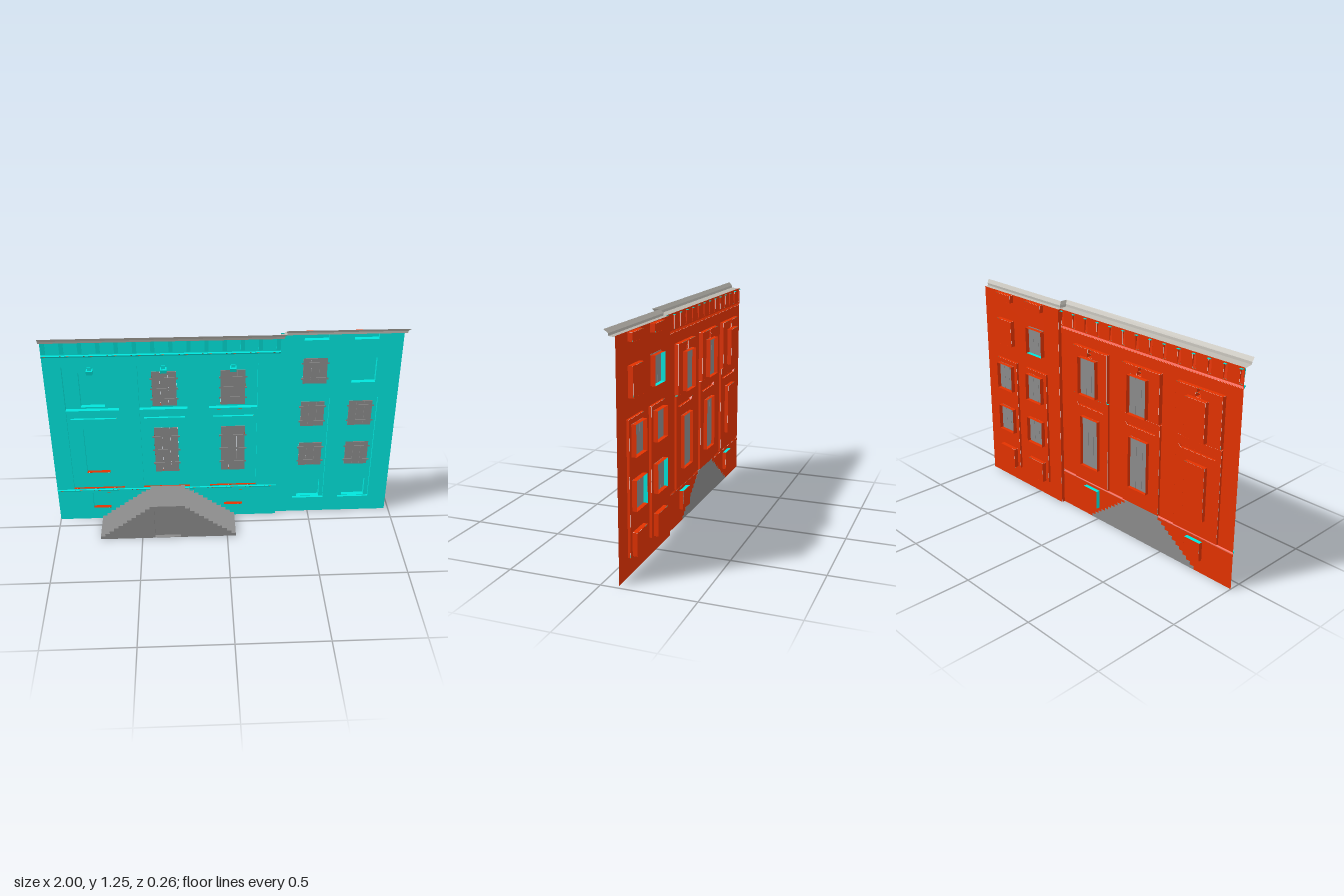
import * as THREE from 'three';
import { mergeGeometries } from 'three/addons/utils/BufferGeometryUtils.js';

const mat = (name, color, side = THREE.FrontSide) => {
  const m = new THREE.MeshStandardMaterial({ color, side });
  m.name = name;
  return m;
};

// Flat-shaded geometry from quads, each four corners counter-clockwise
function quads(list) {
  const pos = list.flatMap(([a, b, c, d]) => [a, b, c, a, c, d].flat());
  const g = new THREE.BufferGeometry();
  g.setAttribute('position', new THREE.Float32BufferAttribute(pos, 3));
  g.computeVertexNormals();
  return g;
}

// Relief panel: rectangle at depth z; zb slopes the bottom edge, taper narrows it.
// Edges are numbered bottom 0, right 1, top 2, left 3: flip swaps their colours;
// open windows have no plate, and red edges except those listed in lined.
const rect = (x0, x1, y0, y1, z, opt = {}) =>
  ({ x0, x1, y0, y1, z, zb: z, taper: 0, flip: [], lined: [], kids: [], ...opt });
const outline = ({ x0, x1, y0, y1, taper: t }) => [[x0 + t, y0], [x1 - t, y0], [x1, y1], [x0, y1]];
const depth = (r, y) => r.zb + (r.z - r.zb) * (y - r.y0) / (r.y1 - r.y0);
const toPoints = (r) => outline(r).map(([x, y]) => new THREE.Vector2(x, y));

// Builds a plate with its nested recesses and bumps as one folded sheet
function relief(r, sheet, redEdges) {
  if (!r.open) {
    const shape = new THREE.Shape(toPoints(r));
    r.kids.forEach((k) => shape.holes.push(new THREE.Path(toPoints(k))));
    const g = new THREE.ShapeGeometry(shape).toNonIndexed();
    g.deleteAttribute('uv');
    const p = g.attributes.position;
    for (let i = 0; i < p.count; i++) p.setZ(i, depth(r, p.getY(i)));
    g.computeVertexNormals();
    sheet.push(g);
  }
  for (const k of r.kids) {
    const c = outline(k);
    c.forEach((p, i) => {
      const q = c[(i + 1) % 4];
      const face = [[...p, r.z], [...q, r.z], [...q, depth(k, q[1])], [...p, depth(k, p[1])]];
      if (k.flip.includes(i)) face.reverse();
      (k.open && !k.lined.includes(i) ? redEdges : sheet).push(quads([face]));
    });
    relief(k, sheet, redEdges);
  }
}

// Same sheet seen from behind
function reversed(geo) {
  const g = geo.clone();
  const p = g.attributes.position;
  const a = new THREE.Vector3(), b = new THREE.Vector3();
  for (let i = 0; i < p.count; i += 3) {
    a.fromBufferAttribute(p, i + 1);
    b.fromBufferAttribute(p, i + 2);
    p.setXYZ(i + 1, b.x, b.y, b.z);
    p.setXYZ(i + 2, a.x, a.y, a.z);
  }
  g.computeVertexNormals();
  return g;
}

export function createModel() {
  const model = new THREE.Group();
  model.name = 'buildingFacade';
  const teal = mat('tealWall', 0x00e5dc);
  const red = mat('redBacking', 0xe23200, THREE.DoubleSide);
  const grey = mat('greyStone', 0x8b8b8b);
  const pale = mat('paleCornice', 0xbcb9b1, THREE.DoubleSide);
  const add = (geo, m, name, parent = model) => {
    const mesh = new THREE.Mesh(geo, m);
    mesh.name = name;
    parent.add(mesh);
    return mesh;
  };
  const box = (w, h, d, x, y, z, m, name, parent) =>
    add(new THREE.BoxGeometry(w, h, d), m, name, parent).position.set(x, y, z);
  // Teal front, and a red back a hair behind it
  const addWing = (wall, name, extra = []) => {
    const sheet = [...extra], redEdges = [];
    relief(wall, sheet, redEdges);
    const g = mergeGeometries(sheet);
    add(g, teal, name + 'Front');
    const back = reversed(g);
    const p = back.attributes.position, n = back.attributes.normal;
    for (let i = 0; i < p.count; i++) {
      p.setXYZ(i, p.getX(i) + n.getX(i) * 0.0006, p.getY(i) + n.getY(i) * 0.0006, p.getZ(i) + n.getZ(i) * 0.0006);
    }
    add(back, red, name + 'Back');
    add(mergeGeometries(redEdges), red, name + 'WindowEdges');
  };

  const Z = -0.067, ZR = -0.088;

  // Shutters: three boards with slim hinge rails
  const shutter = (x0, x1, y0, y1, z, rails) => {
    const g = new THREE.Group();
    g.name = 'shutter';
    model.add(g);
    const w = (x1 - x0) / 3, h = y1 - y0;
    for (let i = 0; i < 3; i++) {
      box(w - 0.001, h, 0.006, x0 + w * (i + 0.5), (y0 + y1) / 2, z, grey, 'shutterBoard', g);
    }
    for (let i = 0; i < rails; i++) {
      const y = y0 + h * (0.2 + 0.6 * i / (rails - 1));
      box(x1 - x0 + 0.02, 0.01, 0.003, (x0 + x1) / 2, y, z + 0.004, grey, 'hingeRail', g);
    }
  };

  // Main wing: three bays of tall windows
  const main = rect(-1, 0.3, 0, 1.215, Z);
  const bays = [[-0.9, -0.6, -0.815, -0.68], [-0.487, -0.215, -0.412, -0.275], [-0.095, 0.178, -0.028, 0.11]];
  bays.forEach(([p0, p1, w0, w1], i) => {
    const open = i > 0, cx = (w0 + w1) / 2;
    const lower = rect(p0, p1, 0.225, 0.757, -0.08, { flip: i === 2 ? [0, 2] : [0] });
    lower.kids.push(
      rect(w0, w1, 0.33, 0.635, -0.102, { open, flip: [0] }),
      rect(p0 + 0.022, p1 - 0.018, 0.69, 0.708, Z, { taper: 0.015 }));
    const upper = rect(p0, p1, 0.765, 1.045, -0.092);
    upper.kids.push(
      rect(w0, w1, 0.775, 0.995, -0.118, { open }),
      rect(cx - 0.018, cx + 0.018, 0.998, 1.021, -0.055, { zb: -0.06 }),
      rect(cx - 0.011, cx + 0.011, 1.022, 1.043, Z));
    main.kids.push(lower, upper);
    if (open) {
      shutter(w0, w1, 0.33, 0.635, -0.08, 3);
      shutter(w0, w1, 0.775, 0.995, -0.092, 3);
    }
  });
  // Basement windows, belt courses and frieze brackets
  main.kids.push(
    rect(-0.795, -0.69, 0.08, 0.19, -0.09, { flip: [0, 2] }),
    rect(-0.012, 0.098, 0.08, 0.19, -0.09, { flip: [0, 2, 3] }),
    rect(-0.999, 0.299, 0.207, 0.22, -0.054, { zb: -0.066 }),
    rect(-0.999, 0.299, 1.107, 1.121, -0.05, { zb: -0.064 }));
  for (let i = 0; i < 14; i++) {
    const x = -0.984 + i * 0.0978;
    main.kids.push(rect(x - 0.011, x + 0.011, 1.128, 1.207, -0.053, { zb: -0.064 }));
    box(0.018, 0.003, 0.01, x, 1.206, -0.073, teal, 'bracketCap');
  }
  // Return wall between the wings
  addWing(main, 'mainWing', [quads([[[0.3, 1.215, Z], [0.3, 0, Z], [0.3, 0, ZR], [0.3, 1.215, ZR]]])]);

  // Side wing: two columns of small windows
  const side = rect(0.3, 0.975, 0, 1.217, ZR);
  [[0.405, 0.59], [0.68, 0.865]].forEach(([p0, p1], i) => {
    const w0 = p0 + 0.025, w1 = p1 - 0.025;
    const panel = rect(p0, p1, 0.1, 0.8, -0.102);
    panel.kids.push(rect(w0, w1, 0.102, 0.225, -0.128));
    for (const [y0, y1, lined] of [[0.335, 0.493, [3]], [0.61, 0.773, []]]) {
      panel.kids.push(rect(w0, w1, y0, y1, -0.128, { open: true, lined }));
      shutter(w0, w1, y0, y1, -0.102, 2);
    }
    side.kids.push(panel,
      rect(w0, w1, 0.9, 1.055, -0.115, { open: i === 0, lined: [0, 3] }),
      rect(w0, w1, 1.17, 1.214, -0.115));
    if (i === 0) shutter(w0, w1, 0.9, 1.06, ZR, 2);
  });
  addWing(side, 'sideWing');

  // Cornice: one profile carried along both wings with a mitred return
  const y = [1.211, 1.217, 1.23, 1.25];
  const zMain = [Z, -0.018, -0.015, 0], zSide = [ZR, -0.06, -0.06, -0.043];
  const xTurn = [0.3, 0.312, 0.315, 0.325], xEnd = [0.975, 0.985, 0.988, 1];
  const station = (xs, zs) => y.map((v, i) => [xs[i], v, zs[i]]);
  const stations = [station([-1, -1, -1, -1], zMain), station(xTurn, zMain),
    station(xTurn, zSide), station(xEnd, zSide)];
  const faces = [];
  for (let s = 0; s < 3; s++) {
    for (let i = 0; i < 3; i++) {
      faces.push([stations[s][i], stations[s + 1][i], stations[s + 1][i + 1], stations[s][i + 1]]);
    }
  }
  add(quads(faces), pale, 'cornice');

  // Double entrance stair with a shallow doorway under the landing
  const n = 12, rise = 0.23 / n, run = 0.295 / (n - 1), left = -0.745, right = 0.05;
  const steps = [];
  for (let i = 0; i < n; i++) {
    steps.push([left + i * run, i * rise], [left + i * run, (i + 1) * rise]);
  }
  const profile = [...steps, ...steps.map(([x, v]) => [left + right - x, v]).reverse()];
  const door = [[-0.275, 0], [-0.275, 0.212], [-0.425, 0.212], [-0.425, 0]];
  const slab = (pts, z0, z1, name) => {
    const shape = new THREE.Shape(pts.map(([x, v]) => new THREE.Vector2(x, v)));
    const g = new THREE.ExtrudeGeometry(shape, { depth: z1 - z0, bevelEnabled: false });
    add(g.translate(0, 0, z0), grey, name);
  };
  slab(profile, -0.0685, 0.113, 'stairBody');
  slab([...profile, ...door], 0.113, 0.134, 'stairFront');
  box(0.15, 0.003, 0.021, -0.35, 0.0015, 0.1235, grey, 'doorSill');

  return model;
}
